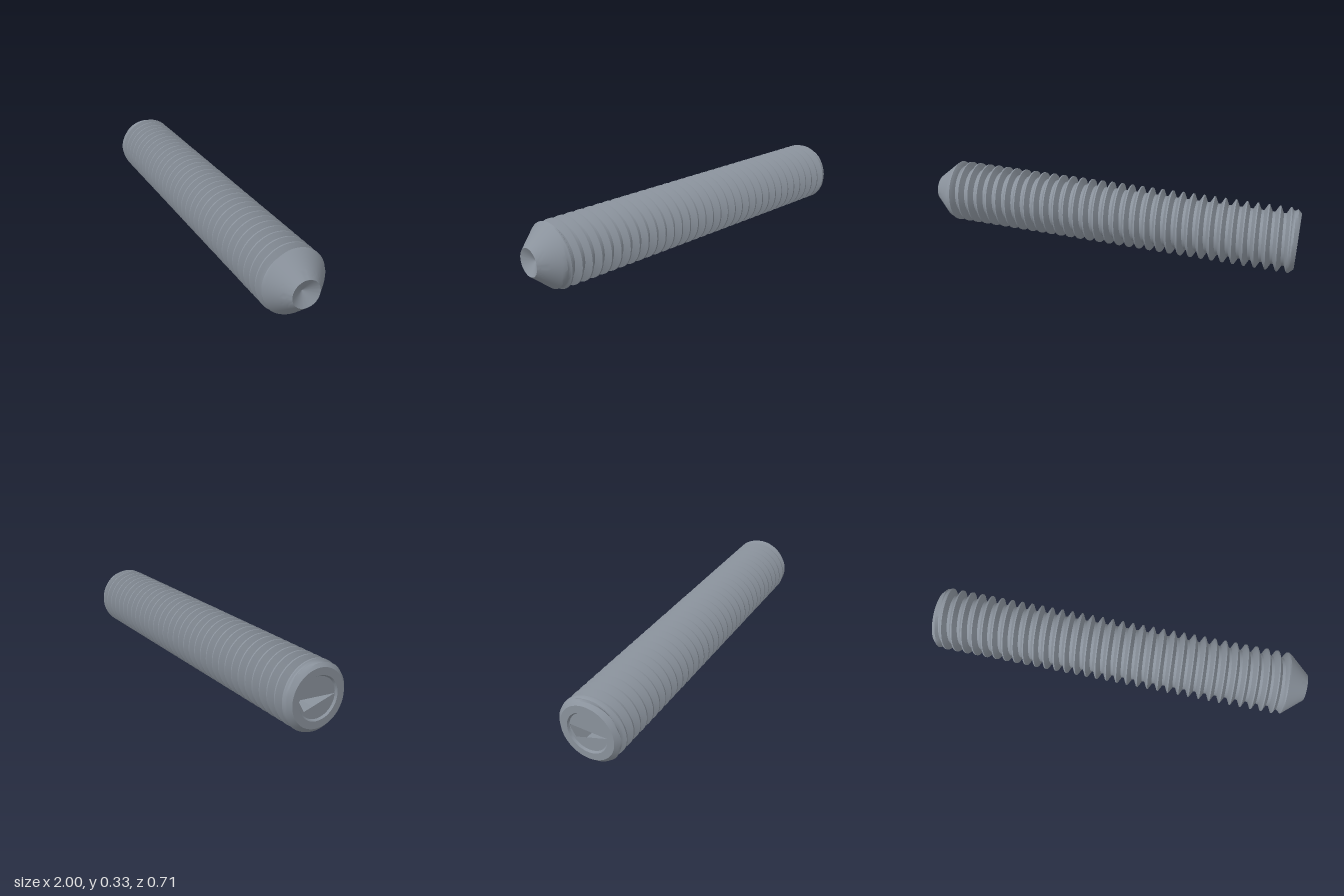
import * as THREE from 'three';
import { toCreasedNormals } from 'three/addons/utils/BufferGeometryUtils.js';

const HALF = 0.999;        // half length along the axis
const CREST = 0.167, ROOT = 0.133;
const PITCH = 0.0557, PHASE = -0.949;
const TIP_R = 0.07, HEAD_R = 0.142;
const HEX_R = 0.099, RIM_R = 0.106, RIM_DEPTH = 0.01, SOCKET_DEPTH = 0.2;
const TILT = THREE.MathUtils.degToRad(11.9);
const SEGMENTS = 64;

const clamp = THREE.MathUtils.clamp;

// Shaft radius at axial position s and angle phi: helical thread cut by the end chamfers
function shaftRadius(s, phi) {
  const u = (s - PHASE) / PITCH - phi / (2 * Math.PI);
  const depth = clamp((Math.abs(u - Math.round(u)) - 0.0625) / 0.3125, 0, 1);
  const fromHead = s + HALF, fromTip = HALF - s;
  const runout = clamp((fromHead - 0.02) / 0.03, 0, 1) * clamp((fromTip - 0.09) / 0.05, 0, 1);
  const thread = CREST - (CREST - ROOT) * depth * runout;
  return Math.min(thread, HEAD_R + fromHead, TIP_R + 0.87 * fromTip);
}

// Thread surface: rows follow the helix and are clamped at both ends
function threadGeometry() {
  const steps = [-0.0625, 0.0625, 0.167, 0.271, 0.375, 0.625, 0.729, 0.833];
  const turns = Math.ceil((2 * HALF) / PITCH) + 3;
  const rows = turns * steps.length;
  const positions = [], index = [];
  for (let i = 0; i < rows; i++) {
    const turn = Math.floor(i / steps.length) - 2 + steps[i % steps.length];
    for (let j = 0; j <= SEGMENTS; j++) {
      const phi = (j / SEGMENTS) * Math.PI * 2;
      const s = clamp(PHASE + PITCH * (turn + j / SEGMENTS), -HALF, HALF);
      const r = shaftRadius(s, phi);
      positions.push(s, r * Math.cos(phi), r * Math.sin(phi));
      if (i < rows - 1 && j < SEGMENTS) {
        const a = i * (SEGMENTS + 1) + j, b = a + SEGMENTS + 1;
        index.push(a, a + 1, b, b, a + 1, b + 1);
      }
    }
  }
  const geometry = new THREE.BufferGeometry();
  geometry.setAttribute('position', new THREE.Float32BufferAttribute(positions, 3));
  geometry.setIndex(index);
  return toCreasedNormals(geometry, 0.5);
}

// Revolved surface around the screw axis, from [radius, axial] pairs
function revolved(points) {
  const profile = points.map(([r, s]) => new THREE.Vector2(r, s));
  return toCreasedNormals(new THREE.LatheGeometry(profile, SEGMENTS).rotateZ(-Math.PI / 2), 0.5);
}

export function createModel() {
  const steel = new THREE.MeshStandardMaterial({ color: 0x8a929c });
  steel.name = 'steel';

  const model = new THREE.Group();
  model.name = 'setScrew';
  const screw = new THREE.Group();
  screw.name = 'screwBody';
  screw.position.set(0.007, CREST, 0.005);
  screw.rotation.y = -TILT;
  model.add(screw);

  const add = (name, geometry) => {
    const mesh = new THREE.Mesh(geometry, steel);
    mesh.name = name;
    screw.add(mesh);
  };

  add('threadedShaft', threadGeometry());

  // Hollow cone in the pointed end
  add('cupPoint', revolved([[TIP_R, HALF], [0, HALF - 0.04]]));

  // Drive end: flat ring with a countersunk rim
  add('headFace', revolved([[HEX_R, -HALF + RIM_DEPTH], [RIM_R, -HALF], [HEAD_R, -HALF]]));

  // Small shelf between the round rim and the hexagon
  const shelf = new THREE.Shape().absarc(0, 0, HEX_R, 0, Math.PI * 2);
  const hex = new THREE.Path();
  hex.setFromPoints(Array.from({ length: 7 }, (_, k) => {
    const a = (-k * Math.PI) / 3;
    return new THREE.Vector2(HEX_R * 0.999 * Math.cos(a), HEX_R * 0.999 * Math.sin(a));
  }));
  shelf.holes.push(hex);
  add('socketShelf', new THREE.ShapeGeometry(shelf, SEGMENTS / 2)
    .rotateY(-Math.PI / 2).translate(-HALF + RIM_DEPTH, 0, 0));

  // Hexagonal socket, turned inside out so its walls face inward
  const walls = new THREE.CylinderGeometry(HEX_R, HEX_R, SOCKET_DEPTH, 6, 1, true)
    .scale(-1, 1, 1).rotateZ(-Math.PI / 2)
    .translate(-HALF + RIM_DEPTH + SOCKET_DEPTH / 2, 0, 0).toNonIndexed();
  walls.computeVertexNormals();
  add('socketWalls', walls);
  add('socketFloor', new THREE.CircleGeometry(HEX_R, 6)
    .rotateY(-Math.PI / 2).translate(-HALF + RIM_DEPTH + SOCKET_DEPTH, 0, 0));

  return model;
}
